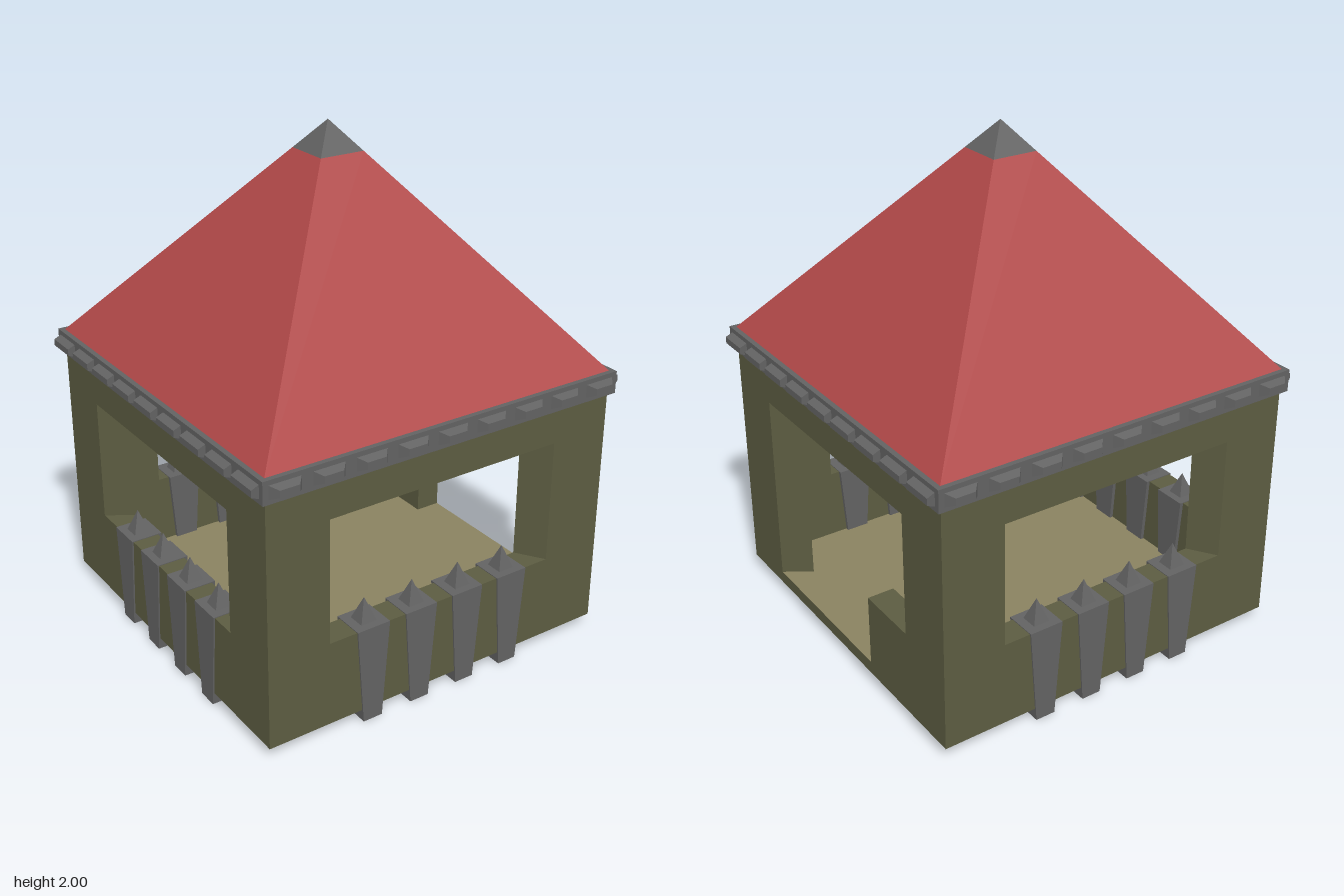
import * as THREE from 'three';

const mat = (name, color) => {
  const m = new THREE.MeshStandardMaterial({ color, flatShading: true, side: THREE.DoubleSide });
  m.name = name;
  return m;
};

const OUT = 0.745, IN = 0.638;       // half widths of the wall shells
const BASE = 0.05, FLOOR = 0.1, SILL = 0.388, LINTEL = 0.88, EAVES = 1.04;

export function createModel() {
  const olive = mat('oliveWall', 0x5c5c41);
  const red = mat('redRoof', 0xb04848);
  const grey = mat('greyTrim', 0x626262);
  const tan = mat('tanFloor', 0x8a8260);
  const purple = mat('purpleLining', 0x6b4096);

  const model = new THREE.Group();
  const add = (parent, name, geometry, material, x = 0, y = 0, z = 0) => {
    const mesh = new THREE.Mesh(geometry, material);
    mesh.name = name;
    mesh.position.set(x, y, z);
    parent.add(mesh);
    return mesh;
  };

  // Square frustum with half widths at top and bottom
  const frustum = (top, bottom, height, open = false) =>
    new THREE.CylinderGeometry(top * Math.SQRT2, bottom * Math.SQRT2, height, 4, 1, open).rotateY(Math.PI / 4);

  // Box whose vertices are scaled wherever the test holds
  const taperedBox = (w, h, d, test, sx, sy) => {
    const g = new THREE.BoxGeometry(w, h, d), p = g.attributes.position;
    for (let i = 0; i < p.count; i++) {
      if (test(p.getY(i), p.getZ(i))) p.setXY(i, p.getX(i) * sx, p.getY(i) * sy);
    }
    return g;
  };

  // Flat rectangle with an opening cut out
  const sheet = (half, bottom, opening) => {
    const pts = [[-half, bottom], [half, bottom], [half, EAVES], [-half, EAVES]];
    const s = new THREE.Shape(pts.map(p => new THREE.Vector2(...p)));
    s.holes.push(new THREE.Path(opening.map(p => new THREE.Vector2(...p))));
    return new THREE.ShapeGeometry(s);
  };

  // One face of the opening's edge, joining outer and inner shells
  const reveal = (a, b, c, d) => {
    const g = new THREE.BufferGeometry();
    const A = [...a, OUT], B = [...b, OUT], C = [...c, IN], D = [...d, IN];
    g.setAttribute('position', new THREE.Float32BufferAttribute([A, B, C, A, C, D].flat(), 3));
    g.computeVertexNormals();
    return g;
  };

  // Counter-clockwise openings, side edges splayed inward
  const windowOpening = e => [[-e, SILL], [e, SILL], [e, LINTEL], [-e, LINTEL]];
  const doorOpening = e => [[-e, FLOOR], [0.23, FLOOR], [0.23, SILL], [e, SILL], [e, LINTEL], [-e, LINTEL]];

  const knobShape = bevelX => taperedBox(0.127, 0.052, 0.03, (y, z) => z > 0, bevelX, 0.5);
  const postShape = taperedBox(0.138, 0.39, 0.128, y => y < 0, 0.58, 1);
  const spikeShape = frustum(0, 0.033, 0.09);

  const sides = [['front', 0], ['left', Math.PI / 2], ['back', Math.PI], ['right', -Math.PI / 2]];
  sides.forEach(([name, angle], index) => {
    const side = new THREE.Group();
    side.name = name + 'Side';
    side.rotation.y = angle;
    model.add(side);

    // Wall shells and opening
    const isDoor = name === 'left';
    const opening = isDoor ? doorOpening : windowOpening;
    const outer = opening(0.495), inner = opening(0.425);
    add(side, 'outerWall', sheet(OUT, BASE, outer), olive, 0, 0, OUT);
    add(side, 'innerWall', sheet(IN, FLOOR, inner).rotateY(Math.PI).scale(-1, 1, 1), olive, 0, 0, IN);
    outer.forEach((p, i) => {
      const j = (i + 1) % outer.length;
      const threshold = isDoor && i === 0;
      add(side, threshold ? 'threshold' : 'openingEdge', reveal(p, outer[j], inner[j], inner[i]),
        threshold ? tan : olive);
    });

    // Tapered fence posts with spikes, through the wall
    if (!isDoor) {
      for (let i = 0; i < 4; i++) {
        const x = -0.315 + i * 0.21 + (name === 'back' ? -0.004 : 0.004);
        add(side, 'post', postShape, grey, x, 0.196, 0.687);
        add(side, 'spike', spikeShape, grey, x, 0.436, 0.687);
      }
    }

    // Row of knobs along the eaves
    const knob = knobShape(index % 2 ? 1 : 0.6);
    for (let i = -4; i <= 4; i++) add(side, 'eavesKnob', knob, grey, i * 0.17, 1.066, 0.779);
  });

  // Floor
  add(model, 'floor', new THREE.PlaneGeometry(IN * 2, IN * 2).rotateX(-Math.PI / 2), tan, 0, FLOOR, 0);

  // Eaves band
  const square = (path, h) => path.moveTo(-h, -h).lineTo(h, -h).lineTo(h, h).lineTo(-h, h).closePath();
  const band = square(new THREE.Shape(), 0.765);
  band.holes.push(square(new THREE.Path(), 0.645));
  add(model, 'eavesBand', new THREE.ExtrudeGeometry(band, { depth: 0.088, bevelEnabled: false })
    .rotateX(-Math.PI / 2), grey, 0, 1.022, 0);

  // Roof, its tip and the lining inside
  add(model, 'roof', frustum(0.092, 0.745, 0.78, true), red, 0, 1.5, 0);
  add(model, 'roofTip', frustum(0, 0.092, 0.11, true), grey, 0, 1.945, 0);
  add(model, 'roofLining', frustum(0, 0.645, 0.77, true), purple, 0, 1.425, 0);

  return model;
}
